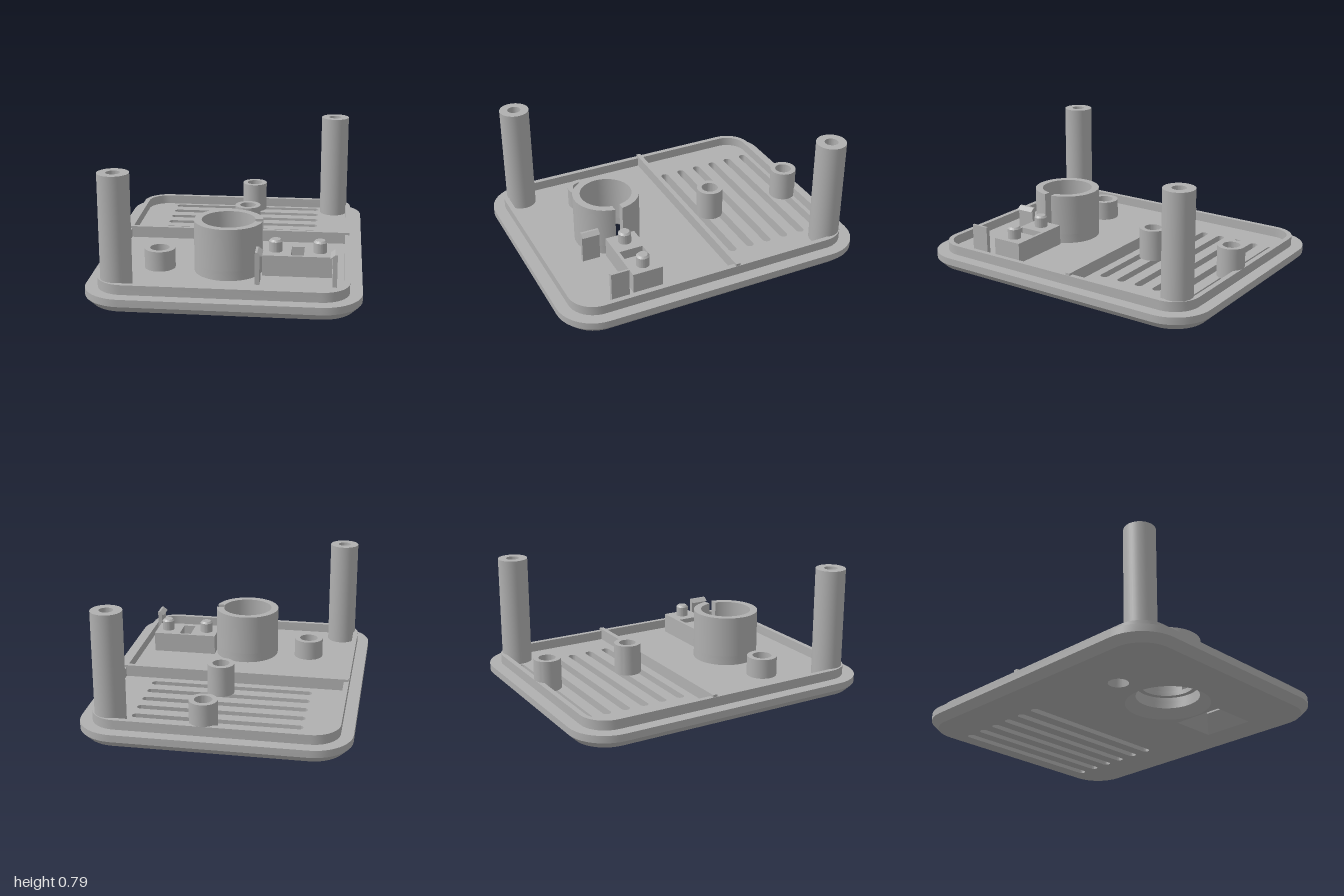
import * as THREE from 'three';
import { toCreasedNormals, mergeGeometries } from 'three/addons/utils/BufferGeometryUtils.js';

const plastic = new THREE.MeshStandardMaterial({ color: 0xb0b0b0, side: THREE.DoubleSide });
plastic.name = 'grey plastic';

// Rounded rectangle loop in plan; plan y is -z. Also gives circles and slots.
function loop(cx, cz, hx, hz, r = 0, n = 10) {
  const pts = [], steps = r > 0 ? n : 0;
  [[1, 1], [-1, 1], [-1, -1], [1, -1]].forEach(([sx, sy], q) => {
    for (let k = 0; k <= steps; k++) {
      const a = (q + (steps ? k / steps : 0.5)) * Math.PI / 2;
      pts.push(new THREE.Vector2(cx + sx * (hx - r) + r * Math.cos(a), -cz + sy * (hz - r) + r * Math.sin(a)));
    }
  });
  return pts;
}
const circle = (cx, cz, r) => loop(cx, cz, r, r, r, 12);

function shapeOf(outline, holes = []) {
  const s = new THREE.Shape(outline);
  s.holes = holes.map(h => new THREE.Path(h));
  return s;
}

// Flat face at height y
function face(outline, holes, y, down = false) {
  const g = new THREE.ShapeGeometry(shapeOf(outline, holes)).rotateX(-Math.PI / 2).translate(0, y, 0);
  if (down) {
    g.index.array.reverse();
    g.computeVertexNormals();
  }
  return g.toNonIndexed();
}

// Wall joining two loops of equal length
function wall(a, ya, b, yb, inward = false) {
  const pos = [], n = a.length;
  const put = (p, y) => pos.push(p.x, y, -p.y);
  for (let i = 0; i < n; i++) {
    const j = (i + 1) % n;
    const [p, q] = inward ? [j, i] : [i, j];
    put(a[p], ya); put(a[q], ya); put(b[q], yb);
    put(a[p], ya); put(b[q], yb); put(b[p], yb);
  }
  const g = new THREE.BufferGeometry();
  g.setAttribute('position', new THREE.Float32BufferAttribute(pos, 3));
  g.computeVertexNormals();
  return g;
}

function extrude(shape, y0, y1) {
  return new THREE.ExtrudeGeometry(shape, { depth: y1 - y0, bevelEnabled: false, curveSegments: 40 })
    .rotateX(-Math.PI / 2).translate(0, y0, 0);
}

function lathe(x, z, profile) {
  return new THREE.LatheGeometry(profile.map(p => new THREE.Vector2(...p)), 40).translate(x, 0, z);
}

export function createModel() {
  const model = new THREE.Group();
  model.name = 'ventedCover';
  const add = (name, geometry) => {
    const mesh = new THREE.Mesh(toCreasedNormals(geometry, 0.5), plastic);
    mesh.name = name;
    model.add(mesh);
  };
  const FLOOR = 0.09;

  // Base plate with chamfered underside and all through holes
  const low = loop(0, 0, 0.77, 0.955, 0.195), rim = loop(0, 0, 0.815, 1, 0.24);
  const slots = [];
  for (let i = 0; i < 6; i++) slots.push(loop(0, -0.838 + i * 0.1245, 0.517, 0.026, 0.026));
  const flare = circle(0, 0.435, 0.26), bore = circle(0, 0.435, 0.195);
  const sink = circle(-0.425, 0.435, 0.062), pin = circle(-0.425, 0.435, 0.048);
  const funnel = loop(0.4225, 0.435, 0.15, 0.165), windowHole = loop(0.4225, 0.435, 0.039, 0.077);
  const parts = [
    face(low, [...slots, flare, sink, funnel], 0, true),
    face(rim, [...slots, bore, pin, windowHole], FLOOR),
    wall(low, 0, rim, 0.045),
    wall(rim, 0.045, rim, FLOOR),
    wall(flare, 0, bore, 0.05, true),
    wall(bore, 0.05, bore, FLOOR, true),
    wall(sink, 0, pin, FLOOR, true),
    wall(funnel, 0, windowHole, FLOOR, true),
    ...slots.map(s => wall(s, 0, s, FLOOR, true)),
  ];
  parts.forEach(g => g.deleteAttribute('uv'));
  add('basePlate', mergeGeometries(parts));

  // Raised lip and dividing rib
  add('lip', extrude(shapeOf(loop(0, 0, 0.74, 0.925, 0.165), [loop(0, 0, 0.708, 0.893, 0.133)]), FLOOR, 0.15));
  add('dividerRib', extrude(shapeOf(loop(0, -0.12, 0.737, 0.015)), FLOOR, 0.165));

  // Blind-holed posts and bosses: x, z, outer radius, hole radius, top, hole floor
  [
    ['backLeftPost', 0.62, -0.808, 0.094, 0.042, 0.785, 0.3],
    ['frontRightPost', -0.622, 0.8, 0.094, 0.042, 0.785, 0.3],
    ['backBoss', 0.053, -0.84, 0.085, 0.053, 0.285, 0.1],
    ['middleBoss', 0.053, -0.28, 0.085, 0.053, 0.285, 0.1],
  ].forEach(([name, x, z, ro, ri, top, bottom]) => add(name, lathe(x, z,
    [[0, FLOOR], [ro, FLOOR], [ro, top], [ri, top], [ri, bottom], [0, bottom]])));

  // Small open collar
  add('smallCollar', lathe(-0.425, 0.435,
    [[0.048, FLOOR], [0.095, FLOOR], [0.095, 0.215], [0.06, 0.215], [0.06, 0.1], [0.048, FLOOR]]));

  // Large collar: stepped foot and a slit upper ring
  add('largeCollarFoot', lathe(0, 0.435,
    [[0.21, FLOOR], [0.21, 0.15], [0.163, 0.15], [0.163, 0.12], [0.195, 0.12], [0.195, FLOOR]]));
  const ring = new THREE.Shape();
  const gapOut = Math.asin(0.024 / 0.21), gapIn = Math.asin(0.024 / 0.163);
  ring.absarc(0, -0.435, 0.21, gapOut, Math.PI * 2 - gapOut, false);
  ring.absarc(0, -0.435, 0.163, Math.PI * 2 - gapIn, gapIn, true);
  add('largeCollar', extrude(ring, 0.15, 0.41));

  // Switch block with window and two locating pegs
  add('switchBlock', extrude(shapeOf(loop(0.4225, 0.435, 0.21, 0.097), [windowHole]), FLOOR, 0.22));
  for (const x of [0.288, 0.557]) {
    add('locatingPeg', lathe(x, 0.435, [[0.041, 0.215], [0.041, 0.283], [0.03, 0.295], [0, 0.295]]));
  }

  // Pair of snap clips hooked toward each other
  for (const s of [-1, 1]) {
    const profile = [[0.242, FLOOR], [0.215, FLOOR], [0.215, 0.268], [0.2, 0.268], [0.228, 0.29], [0.242, 0.29]]
      .map(([d, y]) => new THREE.Vector2(0.4225 + s * d, y));
    add('snapClip', new THREE.ExtrudeGeometry(new THREE.Shape(profile), { depth: 0.115, bevelEnabled: false })
      .translate(0, 0, 0.57));
  }
  return model;
}
